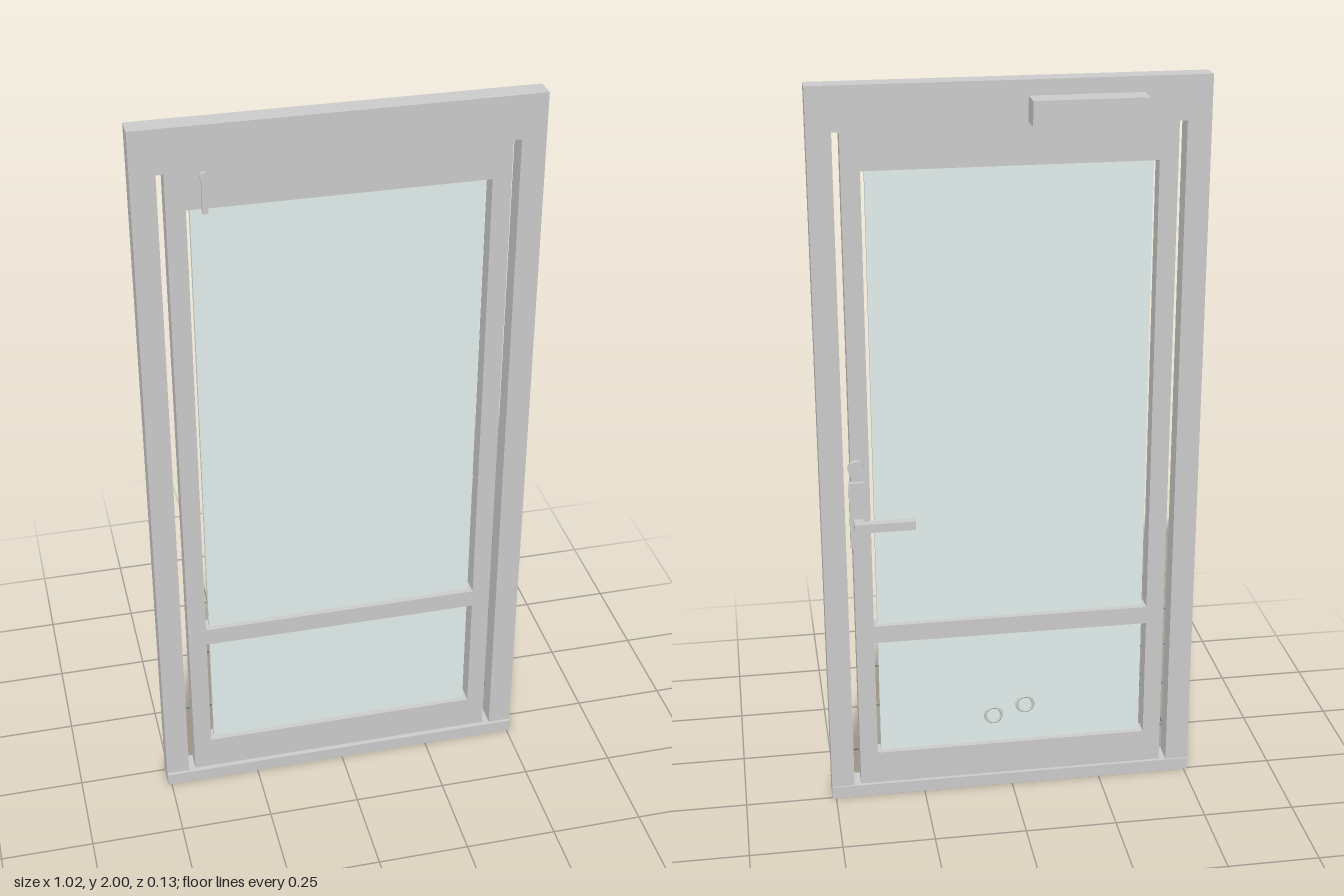
import * as THREE from 'three';

const grey = new THREE.MeshStandardMaterial({ color: 0xcccccc });
const glassMat = new THREE.MeshStandardMaterial({ color: 0xe3eeec });

// Box given by its limits on each axis
function box(name, [x0, x1], [y0, y1], [z0, z1], material = grey) {
  const mesh = new THREE.Mesh(new THREE.BoxGeometry(x1 - x0, y1 - y0, z1 - z0), material);
  mesh.position.set((x0 + x1) / 2, (y0 + y1) / 2, (z0 + z1) / 2);
  mesh.name = name;
  return mesh;
}

// Cylinder with its axis along z
function disc(name, radius, x, y, z0, z1) {
  const mesh = new THREE.Mesh(new THREE.CylinderGeometry(radius, radius, z1 - z0, 24), grey);
  mesh.rotation.x = Math.PI / 2;
  mesh.position.set(x, y, (z0 + z1) / 2);
  mesh.name = name;
  return mesh;
}

function trace(path, points) {
  return path.setFromPoints(points.map(([x, y]) => new THREE.Vector2(x, y)));
}

const rect = (x, y0, y1) => [[-x, y0], [x, y0], [x, y1], [-x, y1]];

// Flat panel from an outline with holes, between two depths
function panel(name, outline, holes, z0, z1) {
  const shape = trace(new THREE.Shape(), outline);
  for (const hole of holes) shape.holes.push(trace(new THREE.Path(), hole));
  const mesh = new THREE.Mesh(
    new THREE.ExtrudeGeometry(shape, { depth: z1 - z0, bevelEnabled: false }), grey);
  mesh.position.z = z0;
  mesh.name = name;
  return mesh;
}

export function createModel() {
  const model = new THREE.Group();
  model.name = 'door';

  // Outer frame, open at the bottom, standing on the sill
  const sillTop = 0.035, headBottom = 1.885;
  model.add(panel('frame', [
    [-0.51, sillTop], [-0.447, sillTop], [-0.447, headBottom], [0.447, headBottom],
    [0.447, sillTop], [0.51, sillTop], [0.51, 2], [-0.51, 2],
  ], [], 0, 0.056));
  model.add(box('sill', [-0.51, 0.51], [0, sillTop], [-0.005, 0.065]));

  // Door leaf with two glazed openings, set a little inside the frame
  const openings = [[0.13, 0.475], [0.525, 1.785]];
  model.add(panel('doorLeaf', rect(0.428, sillTop, headBottom),
    openings.map(([y0, y1]) => rect(0.379, y0, y1)), 0.005, 0.051));
  for (const span of openings) {
    model.add(box('glassPane', [-0.368, 0.368], span, [0.02, 0.036], glassMat));
  }

  // Two rings on the back of the lower pane
  for (const [x, y] of [[0.05, 0.215], [-0.04, 0.242]]) {
    const ring = new THREE.Mesh(new THREE.TorusGeometry(0.023, 0.004, 8, 28), grey);
    ring.position.set(x, y, 0.018);
    ring.name = 'glassRing';
    model.add(ring);
  }

  // Lever handle, plate and lock on the back
  const handle = new THREE.Group();
  handle.name = 'handle';
  handle.add(box('handlePlate', [0.392, 0.435], [0.768, 0.955], [-0.006, 0.006]));
  handle.add(box('handleNeck', [0.4, 0.425], [0.828, 0.852], [-0.023, -0.004]));
  handle.add(box('handleLever', [0.264, 0.425], [0.828, 0.852], [-0.045, -0.022]));
  handle.add(disc('lockRosette', 0.022, 0.414, 0.995, -0.009, 0.006));
  model.add(handle);

  // Closer housing on the back of the head
  model.add(box('closer', [-0.335, -0.042], [1.895, 1.96], [-0.067, 0]));

  // Small latch on the front, at the top of the leaf
  const latch = new THREE.Group();
  latch.name = 'latch';
  latch.add(box('latchPlate', [-0.341, -0.327], [1.775, 1.87], [0.05, 0.06]));
  latch.add(disc('latchPin', 0.01, -0.334, 1.872, 0.05, 0.063));
  model.add(latch);

  return model;
}
